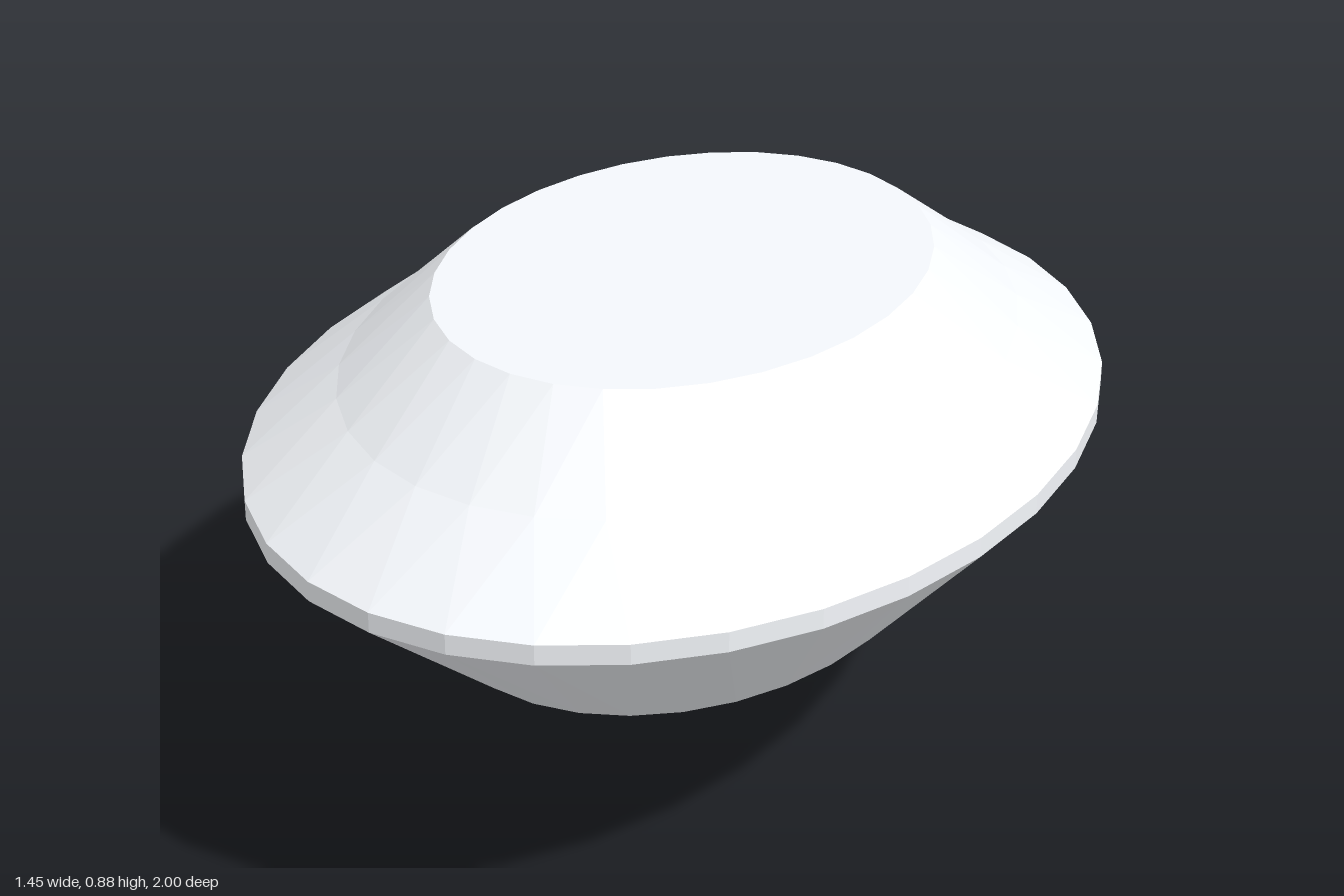
import * as THREE from 'three';

const SIDES = 32;
const WIDTH = 0.723; // oval: x radius relative to z radius

// Point on an oval ring; ring = [radius, height, twist in steps]
function ringPoint([r, y, twist], i) {
  const a = ((i + twist) / SIDES) * Math.PI * 2;
  return [Math.sin(a) * r * WIDTH, y, Math.cos(a) * r];
}

// Triangular facets joining successive rings from bottom to top
function facetBands(rings) {
  const pos = [];
  for (let k = 0; k < rings.length - 1; k++) {
    const low = rings[k], high = rings[k + 1];
    for (let i = 0; i < SIDES; i++) {
      const a = ringPoint(low, i), b = ringPoint(low, i + 1);
      const c = ringPoint(high, i), d = ringPoint(high, i + 1);
      if (low[0] > 0) pos.push(...a, ...b, ...c);
      if (high[0] > 0) pos.push(...b, ...d, ...c);
    }
  }
  const geo = new THREE.BufferGeometry();
  geo.setAttribute('position', new THREE.Float32BufferAttribute(pos, 3));
  geo.computeVertexNormals();
  return geo;
}

export function createModel() {
  const gem = new THREE.Group();
  gem.name = 'ovalGem';
  // Pale icy white stone
  const material = new THREE.MeshStandardMaterial({ color: 0xf4f7fb, flatShading: true });

  const tip = [0, 0, 0];
  const lowerBreak = [0.6, 0.29, 0.5];
  const girdleLow = [1, 0.603, 1];
  const girdleHigh = [1, 0.638, 1];
  const upperBreak = [0.79, 0.75, 1.5];
  const tableEdge = [0.58, 0.883, 2];
  const tableCentre = [0, 0.883, 2];

  const parts = {
    pavilion: [tip, lowerBreak, girdleLow],    // pointed underside
    girdle: [girdleLow, girdleHigh],           // thin vertical rim
    crown: [girdleHigh, upperBreak, tableEdge], // sloping upper facets
    table: [tableEdge, tableCentre],           // flat top
  };
  for (const [name, rings] of Object.entries(parts)) {
    const mesh = new THREE.Mesh(facetBands(rings), material);
    mesh.name = name;
    gem.add(mesh);
  }
  return gem;
}
